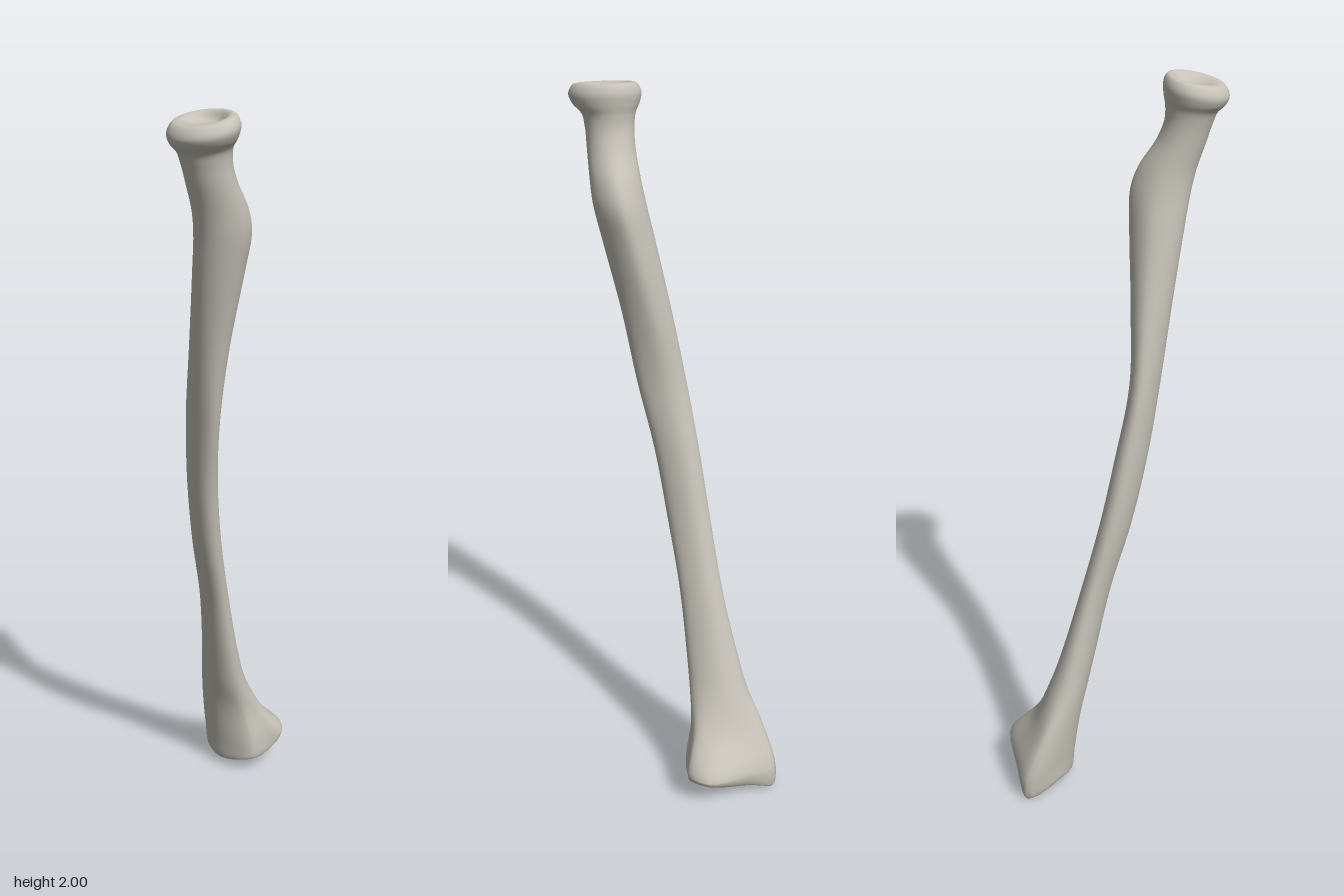
import * as THREE from 'three';

const SIDES = 40;   // points around each ring
const STEPS = 6;    // rings between two cross-sections

// Skewed oval with exact x and z limits; pinch narrows its back, tilt raises its back.
function oval([y, x0, x1, z0, z1, skew = 0, pinch = 0, tilt = 0]) {
  const ring = [];
  for (let j = 0; j < SIDES; j++) {
    const t = (j / SIDES) * Math.PI * 2;
    const s = Math.sin(t + skew);
    const dz = ((z1 - z0) / 2) * s;
    const dx = ((x1 - x0) / 2) * Math.cos(t) * (1 - pinch * Math.max(0, -s) ** 2);
    ring.push(new THREE.Vector3((x0 + x1) / 2 + dx, y - tilt * dz, (z0 + z1) / 2 + dz));
  }
  return ring;
}

// Closed ring through eight corners, from +x by way of the front.
function outline(points) {
  const curve = new THREE.CatmullRomCurve3(points.map(p => new THREE.Vector3(...p)), true);
  return Array.from({ length: SIDES }, (_, j) => curve.getPoint(j / SIDES));
}

// Copy of a ring drawn in towards a centre.
function shrink(ring, centre, k, ky = k) {
  return ring.map(p => new THREE.Vector3(
    centre.x + (p.x - centre.x) * k,
    centre.y + (p.y - centre.y) * ky,
    centre.z + (p.z - centre.z) * k));
}

// Smooth skin over a row of rings, bottom to top.
function loft(rings) {
  const rows = (rings.length - 1) * STEPS;
  const pos = new Float32Array((rows + 1) * SIDES * 3);
  const index = [];
  for (let j = 0; j < SIDES; j++) {
    const curve = new THREE.CatmullRomCurve3(rings.map(r => r[j]));
    for (let i = 0; i <= rows; i++) {
      curve.getPoint(i / rows).toArray(pos, (i * SIDES + j) * 3);
    }
  }
  for (let i = 0; i < rows; i++) {
    for (let j = 0; j < SIDES; j++) {
      const k = (j + 1) % SIDES;
      const a = i * SIDES + j, b = i * SIDES + k;
      const c = a + SIDES, d = b + SIDES;
      index.push(a, c, b, b, c, d);
    }
  }
  const geometry = new THREE.BufferGeometry();
  geometry.setAttribute('position', new THREE.BufferAttribute(pos, 3));
  geometry.setIndex(index);
  geometry.computeVertexNormals();
  return geometry;
}

export function createModel() {
  const bone = new THREE.MeshStandardMaterial({ color: 0xc6c2b8 });
  bone.name = 'bone';

  // Flared lower end with its pointed corner
  const rim = outline([
    [0.0, 0.05, -0.19], [-0.005, 0.045, -0.13], [-0.1, 0.025, -0.095], [-0.175, 0.03, -0.115],
    [-0.246, 0.003, -0.2], [-0.17, 0.04, -0.235], [-0.05, 0.075, -0.268], [0.0, 0.075, -0.238]]);
  const flare = outline([
    [0.003, 0.1, -0.185], [-0.003, 0.09, -0.125], [-0.11, 0.09, -0.085], [-0.185, 0.09, -0.112],
    [-0.254, 0.07, -0.195], [-0.17, 0.09, -0.248], [-0.045, 0.1, -0.285], [0.009, 0.1, -0.24]]);
  const flareTop = outline([
    [-0.012, 0.2, -0.15], [-0.02, 0.2, -0.11], [-0.1, 0.2, -0.07], [-0.175, 0.2, -0.092],
    [-0.219, 0.2, -0.15], [-0.16, 0.2, -0.19], [-0.07, 0.2, -0.203], [-0.02, 0.2, -0.185]]);

  // Hollow under the lower end
  const hollow = new THREE.Vector3(-0.1, 0.075, -0.18);

  // Shaft: y, x limits, z limits, skew, pinch
  const shaft = [
    [0.3, -0.18, -0.014, -0.16, -0.05, 0.1, 0.1],
    [0.4, -0.155, -0.01, -0.125, -0.03, 0.2, 0.15],
    [0.6, -0.115, 0.004, -0.07, 0.01, 0.3, 0.2],
    [0.8, -0.088, 0.03, -0.02, 0.065, 0.35, 0.2],
    [1.0, -0.062, 0.06, 0.02, 0.105, 0.35, 0.2],
    [1.2, -0.03, 0.103, 0.053, 0.132, 0.3, 0.2],
    [1.4, 0.008, 0.14, 0.049, 0.155, 0.2, 0.25],
    [1.6, 0.05, 0.186, 0.037, 0.18, 0.05, 0.3],
    [1.7, 0.072, 0.208, 0.035, 0.194, 0, 0.3],
    [1.76, 0.083, 0.213, 0.055, 0.207, 0, 0.25],
    [1.83, 0.091, 0.215, 0.1, 0.23, 0, 0.1],
  ];

  // Neck and disc-shaped head, ending in a shallow dish
  const head = [
    [1.88, 0.091, 0.217, 0.12, 0.246],
    [1.912, 0.086, 0.224, 0.122, 0.257, 0, 0, 0.1],
    [1.935, 0.075, 0.245, 0.117, 0.276, 0, 0, 0.15],
    [1.96, 0.07, 0.255, 0.115, 0.284, 0, 0, 0.2],
    [1.983, 0.082, 0.243, 0.125, 0.272, 0, 0, 0.2],
    [1.986, 0.1, 0.222, 0.138, 0.25, 0, 0, 0.2],
    [1.971, 0.125, 0.19, 0.155, 0.215, 0, 0, 0.1],
    [1.967, 0.157, 0.157, 0.185, 0.185],
  ];

  const mesh = new THREE.Mesh(loft([
    shrink(rim, hollow, 0),
    shrink(rim, hollow, 0.45, 0.2),
    shrink(rim, hollow, 0.85, 0.8),
    rim, flare, flareTop,
    ...shaft.map(oval),
    ...head.map(oval),
  ]), bone);
  mesh.name = 'forearmBone';

  const group = new THREE.Group();
  group.name = 'forearmBoneModel';
  group.add(mesh);
  return group;
}
